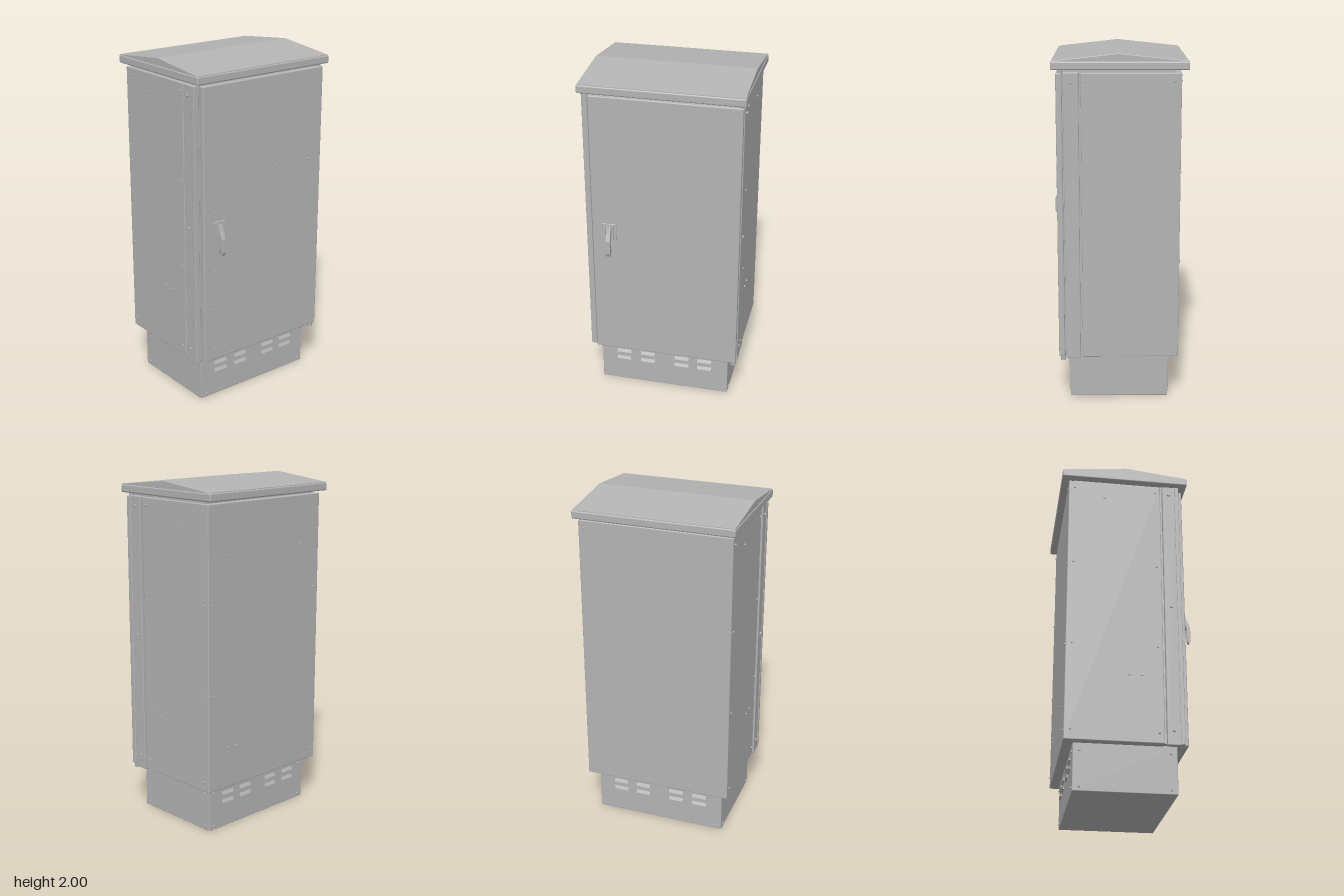
import * as THREE from 'three';
import { RoundedBoxGeometry } from 'three/addons/geometries/RoundedBoxGeometry.js';

const metal = new THREE.MeshStandardMaterial({ color: 0xb4b4b4 });
metal.name = 'grey metal';

export function createModel() {
  const model = new THREE.Group();
  model.name = 'cabinet';

  function add(name, geometry, parent = model) {
    const mesh = new THREE.Mesh(geometry, metal);
    mesh.name = name;
    parent.add(mesh);
    return mesh;
  }
  // Box given by its limits, with optional edge rounding
  function box(name, x0, x1, y0, y1, z0, z1, r = 0, parent = model) {
    const s = [x1 - x0, y1 - y0, z1 - z0];
    const g = r ? new RoundedBoxGeometry(...s, 2, r) : new THREE.BoxGeometry(...s);
    g.translate((x0 + x1) / 2, (y0 + y1) / 2, (z0 + z1) / 2);
    return add(name, g, parent);
  }
  // Side profile of [z, y] points, extruded along x between x0 and x1
  function profile(name, points, x0, x1, bevel, parent = model) {
    const shape = new THREE.Shape(points.map(([z, y]) => new THREE.Vector2(-z, y)));
    const g = new THREE.ExtrudeGeometry(shape, {
      depth: x1 - x0 - 2 * bevel, bevelEnabled: bevel > 0, bevelSize: bevel,
      bevelThickness: bevel, bevelOffset: -bevel, bevelSegments: 2,
    });
    g.rotateY(Math.PI / 2);
    g.translate(x0 + bevel, 0, 0);
    return add(name, g, parent);
  }

  // Plinth, body, front frame and door
  box('plinth', -0.395, 0.39, 0.005, 0.28, -0.29, 0.275, 0.004);
  box('body', -0.443, 0.443, 0.27, 1.895, -0.345, 0.2, 0.005);
  box('frame', -0.425, 0.43, 0.275, 1.893, 0.19, 0.302);
  box('neck', -0.42, 0.42, 1.88, 1.92, -0.31, 0.3);
  box('door', -0.41, 0.446, 0.272, 1.893, 0.302, 0.336, 0.006);
  for (const s of [-1, 1]) {
    const x = s * 0.433;
    box('sideTrim', x - 0.016, x + 0.016, 0.262, 1.897, 0.212, 0.296, 0.005);
  }
  box('trimLip', -0.453, -0.42, 0.265, 1.897, 0.285, 0.31, 0.004);

  // Gabled roof with a thicker lip around its eaves
  profile('roof', [[-0.38, 1.92], [0.357, 1.92], [0.357, 1.96], [-0.005, 2], [-0.38, 1.96]], -0.46, 0.46, 0.003);
  box('roofLip', -0.464, 0.464, 1.911, 1.957, -0.385, 0.362, 0.008);

  // Hinge pins at the door's corners
  for (const y of [0.263, 1.9]) {
    const pin = add('hingePin', new THREE.CylinderGeometry(0.014, 0.014, 0.03, 16));
    pin.position.set(0.428, y, 0.312);
  }

  // Bolts
  const boltGeometry = new THREE.CylinderGeometry(0.005, 0.007, 0.008, 12);
  boltGeometry.rotateX(Math.PI / 2);
  const bolts = new THREE.Group();
  bolts.name = 'bolts';
  model.add(bolts);
  function bolt(x, y, z, turn, scale = 1) {
    const b = add('bolt', boltGeometry, bolts);
    b.position.set(x, y, z);
    b.rotation.y = turn;
    b.scale.setScalar(scale);
  }
  // Door bolts
  for (const y of [1.79, 1.455, 1.32, 1.18, 0.835, 0.59, 0.345])
    for (const x of [-0.34, -0.27]) bolt(x, y, 0.338, 0);
  for (const y of [1.61, 1.36, 1.11, 0.865, 0.615]) bolt(0.355, y, 0.338, 0);
  for (const y of [1.37, 1.29]) bolt(0.102, y, 0.338, 0);
  // Side and trim bolts
  for (const s of [-1, 1]) {
    const turn = s * Math.PI / 2;
    for (const y of [1.85, 1.345, 0.835, 0.33]) {
      for (const z of [-0.31, 0.17]) bolt(s * 0.445, y, z, turn);
      bolt(s * 0.41, y, -0.347, Math.PI);
    }
    for (const [z, y] of [[-0.135, 1.79], [0.08, 0.66], [0.01, 0.66]]) bolt(s * 0.445, y, z, turn);
    for (const y of [1.84, 1.09, 0.345]) bolt(s * 0.451, y, 0.25, turn, 1.4);
    // Plinth corner bolts
    for (const y of [0.03, 0.23]) {
      for (const z of [-0.255, 0.24]) bolt(s > 0 ? 0.392 : -0.397, y, z, turn, 1.1);
      bolt(s * 0.358, y, 0.277, 0, 1.1);
      bolt(s * 0.358, y, -0.292, Math.PI, 1.1);
    }
  }
  // Back bolts
  for (const [x, y] of [[0.29, 1.61], [-0.29, 1.61], [0.29, 0.51], [0.23, 0.51], [-0.29, 0.51]])
    bolt(x, y, -0.347, Math.PI);

  // Hooded vent slots on the plinth's front and back
  for (const [z, s] of [[0.275, 1], [-0.29, -1]])
    for (const x of [-0.255, -0.107, 0.105, 0.247])
      for (const y of [0.155, 0.205])
        profile('ventHood', [[z - s * 0.003, y], [z + s * 0.01, y], [z - s * 0.001, y + 0.02]],
          x - 0.044, x + 0.044, 0);

  // Handle: backing plate with raised cheeks and a swinging lever
  const handle = new THREE.Group();
  handle.name = 'handle';
  model.add(handle);
  box('handlePlate', -0.35, -0.265, 1.025, 1.125, 0.334, 0.343, 0.003, handle);
  for (const x of [-0.332, -0.284])
    profile('handleCheek', [[0.34, 1.03], [0.356, 1.035], [0.352, 1.12], [0.34, 1.12]], x - 0.005, x + 0.005, 0, handle);
  profile('handleLever', [[0.34, 1.10], [0.34, 1.06], [0.362, 1.02], [0.366, 0.935], [0.376, 0.93],
    [0.385, 0.95], [0.383, 1.03], [0.366, 1.07], [0.352, 1.115]], -0.322, -0.294, 0.003, handle);
  profile('handleCatch', [[0.335, 0.985], [0.335, 0.935], [0.345, 0.935], [0.368, 0.99], [0.366, 1.02]],
    -0.315, -0.301, 0, handle);

  return model;
}
